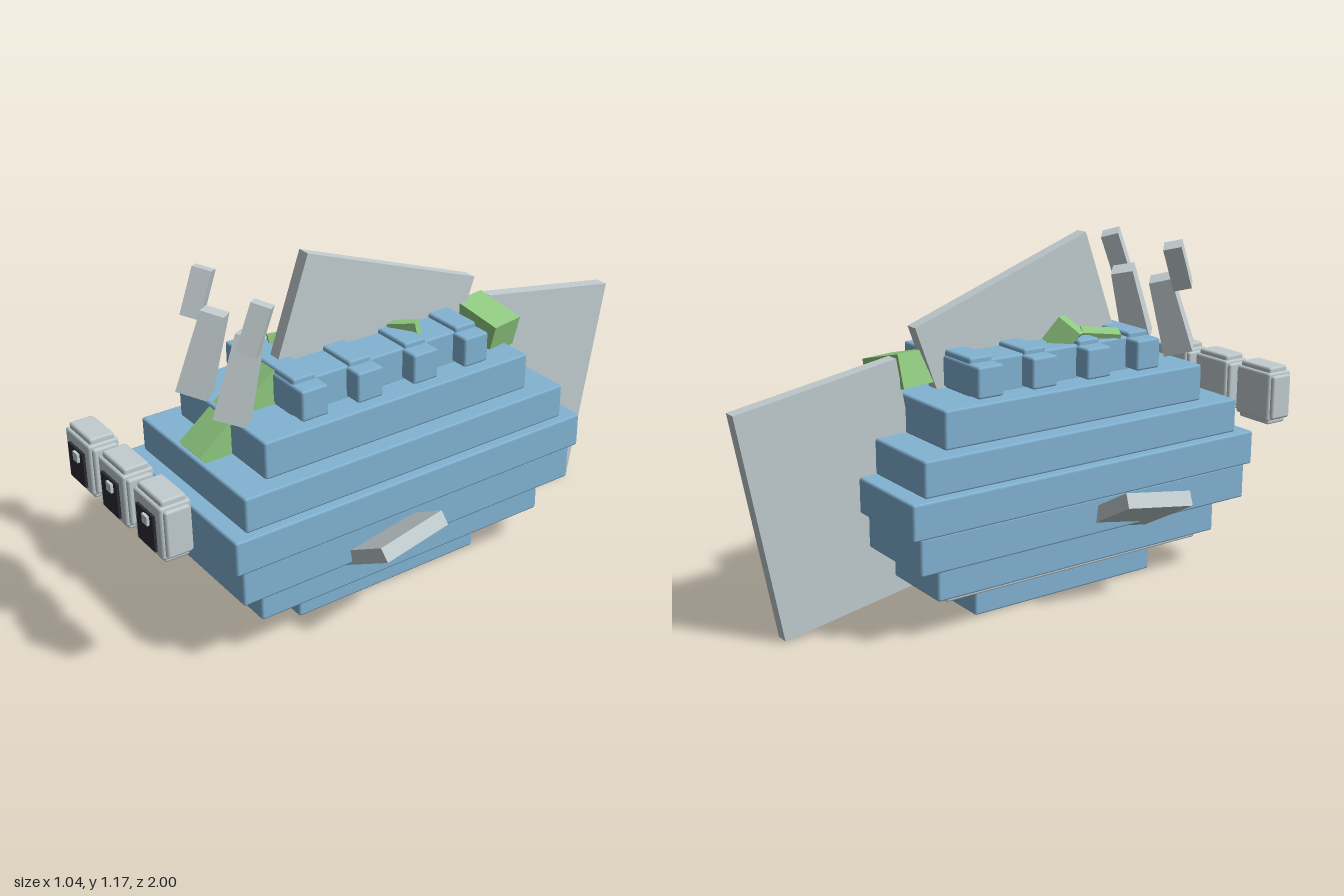
import * as THREE from 'three';
import { RoundedBoxGeometry } from 'three/addons/geometries/RoundedBoxGeometry.js';

const mat = (name, color) => new THREE.MeshStandardMaterial({ name, color });

export function createModel() {
  const model = new THREE.Group();
  model.name = 'blockFish';
  const blue = mat('skyBlue', 0x82b3d3);
  const grey = mat('paleGrey', 0xc2cdd0);
  const green = mat('leafGreen', 0x90ca80);
  const dark = mat('pupilDark', 0x2b2b35);

  const add = (name, geo, material, pos, parent = model) => {
    const m = new THREE.Mesh(geo, material);
    m.name = name;
    m.position.set(...pos);
    parent.add(m);
    return m;
  };
  // Box given by half width, y range and z range, with slightly softened edges
  const slab = (name, material, hw, y0, y1, z0, z1, parent = model, x = 0) =>
    add(name, new RoundedBoxGeometry(hw * 2, y1 - y0, z1 - z0, 1, 0.008), material,
      [x, (y0 + y1) / 2, (z0 + z1) / 2], parent);

  // Stepped body layers, bottom to top
  [
    [blue, 0.185, 0, 0.11, -0.27, 0.45],
    [grey, 0.25, 0.105, 0.135, -0.42, 0.6],
    [blue, 0.285, 0.13, 0.25, -0.47, 0.65],
    [blue, 0.335, 0.248, 0.37, -0.56, 0.74],
    [blue, 0.345, 0.368, 0.486, -0.59, 0.765],
    [blue, 0.315, 0.484, 0.602, -0.53, 0.71],
    [blue, 0.256, 0.6, 0.726, -0.42, 0.6],
  ].forEach((s, i) => slab('bodyLayer' + (i + 1), ...s));

  // Back ridge with four crossbars
  slab('ridge', blue, 0.16, 0.72, 0.835, -0.27, 0.44);
  [0.395, 0.19, -0.025, -0.23].forEach((z) => {
    slab('ridgeBar', blue, 0.222, 0.73, 0.832, z - 0.048, z + 0.048);
    slab('ridgeBump', blue, 0.165, 0.74, 0.85, z - 0.042, z + 0.042);
  });

  // Three floating eyes
  [-0.22, 0, 0.22].forEach((x) => {
    const eye = new THREE.Group();
    eye.name = 'eye';
    eye.position.x = x;
    model.add(eye);
    slab('eyeWide', grey, 0.093, 0.495, 0.65, 0.885, 0.968, eye);
    slab('eyeTall', grey, 0.072, 0.472, 0.678, 0.885, 0.968, eye);
    slab('eyeDepth', grey, 0.08, 0.488, 0.66, 0.875, 0.978, eye);
    add('pupil', new THREE.BoxGeometry(0.1, 0.118, 0.009), dark, [0, 0.565, 0.982], eye);
    add('glint', new THREE.BoxGeometry(0.03, 0.03, 0.009), grey, [0.024, 0.608, 0.9955], eye);
  });

  // Two-part horns: tapered square posts set between two points
  const post = (name, r0, r1, from, to) => {
    const a = new THREE.Vector3(...from), b = new THREE.Vector3(...to);
    const d = b.clone().sub(a);
    const geo = new THREE.CylinderGeometry(r1, r0, d.length(), 4).toNonIndexed();
    geo.computeVertexNormals();
    const m = add(name, geo, grey, a.add(b).multiplyScalar(0.5).toArray());
    m.quaternion.setFromUnitVectors(new THREE.Vector3(0, 1, 0), d.normalize());
  };
  [-1, 1].forEach((s) => {
    post('lowerHorn', 0.07, 0.054, [0.112 * s, 0.75, 0.622], [0.102 * s, 1.005, 0.54]);
    post('upperHorn', 0.044, 0.044, [0.162 * s, 0.98, 0.588], [0.167 * s, 1.125, 0.533]);
  });

  // Flat side fins, sweeping up and outward
  [-1, 1].forEach((s) => {
    const fin = add('sideFin', new THREE.BoxGeometry(0.4, 0.05, 0.25), grey, [0.324 * s, 0.288, 0.225]);
    fin.rotation.set(0.157, 0, s * Math.PI / 6, 'ZXY');
  });

  // Thin upright fins, outlined as [z, y]
  const plate = (name, pts) => {
    const shape = new THREE.Shape(pts.map(([z, y]) => new THREE.Vector2(-z, y)));
    const geo = new THREE.ExtrudeGeometry(shape, { depth: 0.046, bevelEnabled: false });
    geo.translate(0, 0, -0.023).rotateY(Math.PI / 2);
    add(name, geo, grey, [0, 0, 0]);
  };
  plate('dorsalFin', [[0.28, 1.172], [0.417, 0.796], [-0.243, 0.556], [-0.38, 0.932]]);
  plate('tailFin', [[-0.45, 0.845], [-0.315, 0.1], [-0.865, 0.005], [-1, 0.75]]);

  // Green growths: size, position, rotation
  [
    ['foreheadStrip', [0.125, 0.1, 0.35], [0, 0.695, 0.545], [0.672, 0, 0]],
    ['rearMoss', [0.18, 0.11, 0.125], [0.07, 0.78, -0.39], [0, 0.17, -0.25]],
    ['leftMoss', [0.1, 0.05, 0.035], [0.065, 0.845, -0.055], [0, 0.55, 0.2]],
    ['rightMoss', [0.09, 0.09, 0.11], [-0.075, 0.85, 0.155], [0.2, 0.75, 0.5]],
    ['rightMossTip', [0.05, 0.05, 0.13], [-0.11, 0.835, 0.275], [0.1, -0.4, 0.3]],
  ].forEach(([name, size, pos, rot]) =>
    add(name, new THREE.BoxGeometry(...size), green, pos).rotation.set(...rot));

  return model;
}
